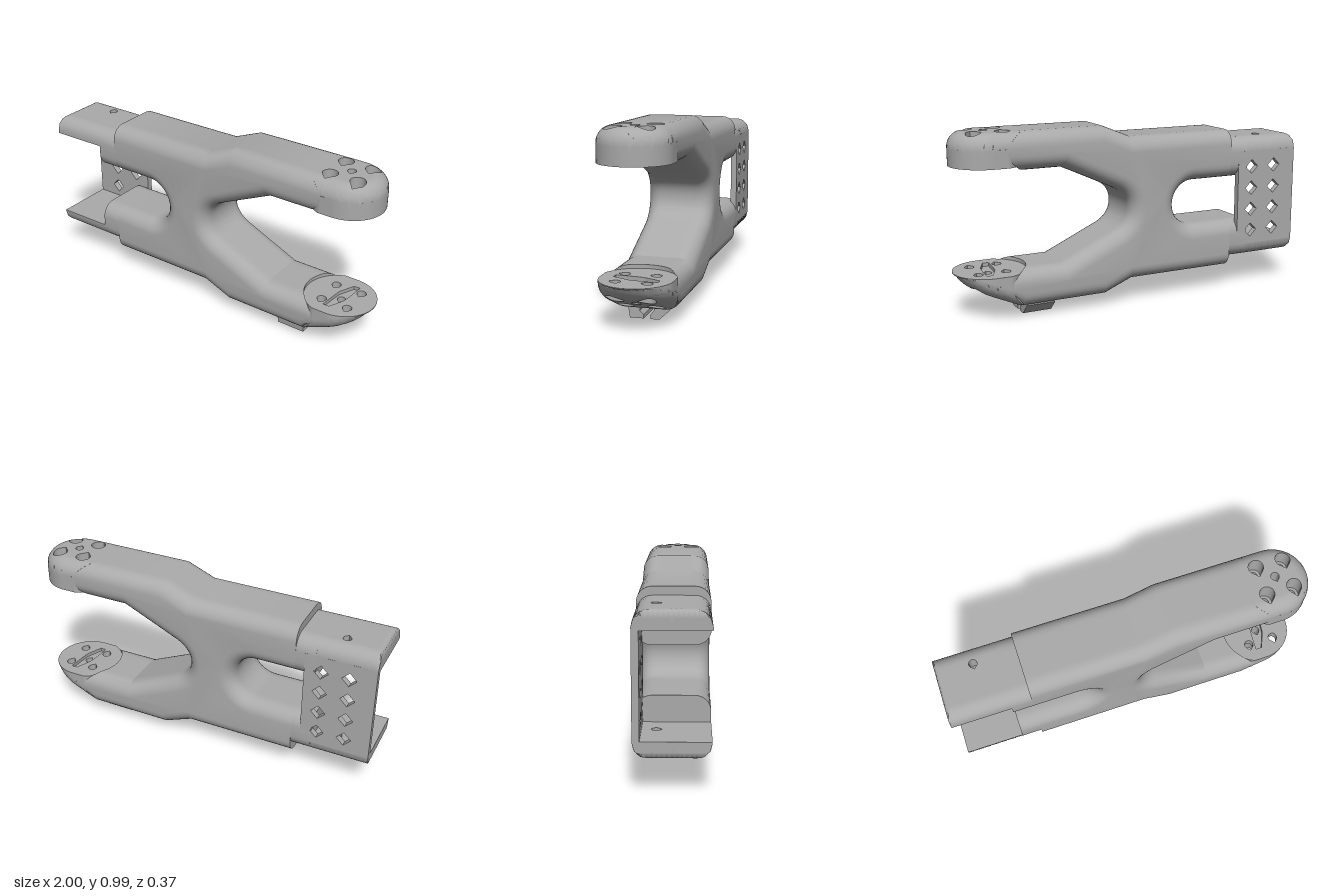
import * as THREE from 'three';
import { toCreasedNormals } from 'three/addons/utils/BufferGeometryUtils.js';

const HALF = 0.185, R = 0.08, CX = 0.815; // half width, edge rounding, centre of arm tips
const clamp = THREE.MathUtils.clamp;
const polygon = (pts) => new THREE.Shape(pts.map(([x, y]) => new THREE.Vector2(x, y)));

// Drop of a rounded edge at distance d from the rim
const drop = (d, r) => {
  const t = clamp(r - d, 0, r);
  return r - Math.sqrt(r * r - t * t);
};

// Split triangles until no edge is longer than max; leaves out empty triangles
function refine(geo, max) {
  const src = geo.index ? geo.toNonIndexed() : geo;
  const p = src.attributes.position, out = [];
  const stack = [];
  for (let i = 0; i < p.count; i += 3)
    stack.push([0, 1, 2].map((k) => new THREE.Vector3().fromBufferAttribute(p, i + k)));
  while (stack.length) {
    const [a, b, c] = stack.pop();
    const ab = a.distanceTo(b), bc = b.distanceTo(c), ca = c.distanceTo(a);
    const m = Math.max(ab, bc, ca);
    if (Math.min(ab, bc, ca) < 1e-6) continue;
    if (m <= max) { out.push(a, b, c); continue; }
    const [u, v, w] = m === ab ? [a, b, c] : m === bc ? [b, c, a] : [c, a, b];
    const mid = u.clone().add(v).multiplyScalar(0.5);
    stack.push([u, mid, w], [mid, v, w]);
  }
  return new THREE.BufferGeometry().setFromPoints(out);
}

// Plan shape (x, -z) filled between two height functions
function slab(shape, lo, hi) {
  const depth = 0.014;
  const geo = refine(new THREE.ExtrudeGeometry(shape, { depth, bevelEnabled: false, curveSegments: 48 }), 0.0145);
  const p = geo.attributes.position;
  for (let i = 0; i < p.count; i++) {
    const x = p.getX(i), z = -p.getY(i), t = p.getZ(i) / depth;
    p.setXYZ(i, x, lo(x, z) * (1 - t) + hi(x, z) * t, z);
  }
  return toCreasedNormals(geo, 0.65);
}

// Side outline with rounded edges, its ends cut off square or curved
function roundedProfile(shape, xMin, xMax) {
  const geo = new THREE.ExtrudeGeometry(shape, {
    depth: 2 * (HALF - R), steps: 10, curveSegments: 14,
    bevelThickness: R, bevelSize: R, bevelOffset: -R, bevelSegments: 7,
  });
  geo.translate(0, 0, R - HALF);
  const p = geo.attributes.position;
  for (let i = 0; i < p.count; i++) p.setX(i, clamp(p.getX(i), xMin, xMax(p.getZ(i))));
  return toCreasedNormals(refine(geo, Infinity), 0.4);
}

// Teardrop hole pointing to +z
function teardrop(x, z, r) {
  const pts = [[x, -z - r * 1.41]];
  for (let i = 0; i <= 14; i++) {
    const a = -Math.PI / 4 + (i / 14) * Math.PI * 1.5;
    pts.push([x + r * Math.cos(a), -z + r * Math.sin(a)]);
  }
  return polygon(pts);
}

// Plan of an arm tip with four screw holes and a middle opening
function tipPlan(r, middle) {
  const a = Math.atan2(HALF, 0.739 - CX);
  const s = new THREE.Shape();
  s.moveTo(0.739, -HALF).lineTo(CX, -HALF);
  s.absarc(CX, 0, HALF, -Math.PI / 2, Math.PI / 2, false);
  s.lineTo(0.739, HALF);
  s.absarc(CX, 0, 0.2, a, 2 * Math.PI - a, false);
  for (const x of [0.74, 0.89]) for (const z of [-0.08, 0.08]) s.holes.push(teardrop(x, z, r));
  s.holes.push(middle);
  return s;
}

export function createModel() {
  const group = new THREE.Group();
  const grey = new THREE.MeshStandardMaterial({ color: 0xaaaaaa });
  grey.name = 'grey';
  const add = (name, geo) => {
    const mesh = new THREE.Mesh(geo, grey);
    mesh.name = name;
    group.add(mesh);
  };

  // Forked body
  const body = new THREE.Shape();
  body.moveTo(-0.7, 0.13);
  for (const [x, y] of [[0.04, 0.13], [0.2, 0.065], [0.68, 0.065], [0.74, 0.092], [0.95, 0.092],
    [0.95, 0.27], [0.44, 0.27], [0.13, 0.41]]) body.lineTo(x, y);
  body.quadraticCurveTo(0.05, 0.45, 0.05, 0.527);
  body.quadraticCurveTo(0.05, 0.604, 0.13, 0.644);
  for (const [x, y] of [[0.44, 0.785], [0.95, 0.785], [0.95, 0.985], [0.2, 0.985], [0.04, 0.92],
    [-0.7, 0.92], [-0.7, 0.65], [-0.345, 0.65]]) body.lineTo(x, y);
  body.absarc(-0.345, 0.525, 0.125, Math.PI / 2, -Math.PI / 2, true);
  body.lineTo(-0.7, 0.4);
  add('body', roundedProfile(body, -0.57, (z) => CX - Math.sqrt(Math.max(0, 0.04 - z * z))));

  // Slimmer blocks behind the body
  for (const [name, y0, y1] of [['upperBlock', 0.65, 0.875], ['lowerBlock', 0.18, 0.4]])
    add(name, roundedProfile(polygon([[-0.85, y0], [-0.35, y0], [-0.35, y1], [-0.85, y1]]), -0.68, () => -0.57));

  // Arm tips: slotted seat, screw plate and counterbored outer layer
  const slot = polygon([[0.01, 0.12], [0.044, 0.12], [0.036, 0.02], [0.03, -0.03],
    [-0.01, -0.12], [-0.044, -0.12], [-0.036, -0.02], [-0.03, 0.03]].map(([x, y]) => [CX + x, y]));
  const pin = teardrop(CX, 0, 0.022);
  const plans = { Seat: tipPlan(0.025, slot), Plate: tipPlan(0.025, pin), Outer: tipPlan(0.04, pin) };
  const rim = (x, z) => HALF - (x < CX ? Math.abs(z) : Math.hypot(x - CX, z));
  const under = (x, z) => Math.min(0.245, 0.065 + Math.max(0, x - 0.68) * 0.45 + drop(rim(x, z), R));
  const upper = { Seat: [0.81, 0.83], Plate: [0.83, 0.87], Outer: [0.87, 0.985] };
  const lower = { Seat: [0.23, 0.25], Plate: [0.2, 0.23], Outer: [0, 0.2] };
  for (const key of Object.keys(plans)) {
    const [a, b] = upper[key], [c, d] = lower[key];
    add('upperTip' + key, slab(plans[key], () => a,
      (x, z) => (key === 'Outer' ? b - drop(rim(x, z), R) : b)));
    add('lowerTip' + key, slab(plans[key], (x, z) => Math.max(c, under(x, z)),
      (x, z) => Math.max(d, under(x, z))));
  }

  // Channel rails with a small hole each
  const rail = polygon([[-1, -HALF], [-0.64, -HALF], [-0.64, HALF], [-1, HALF]]);
  rail.holes.push(teardrop(-0.8, -0.08, 0.022));
  const round = (x, z) => Math.max(drop(HALF - Math.abs(z), R), drop(x + 1, 0.03));
  add('upperRail', slab(rail, () => 0.78, (x, z) => 0.875 - round(x, z)));
  add('lowerRail', slab(rail, (x, z) => 0.18 + round(x, z), () => 0.265));

  // Back plate with diamond holes
  const plate = polygon([[-1, 0.255], [-0.62, 0.255], [-0.62, 0.797], [-1, 0.797]]);
  for (const x of [-0.86, -0.71]) for (const y of [0.335, 0.458, 0.582, 0.706])
    plate.holes.push(polygon([[x - 0.04, y], [x, y - 0.04], [x + 0.04, y], [x, y + 0.04]]));
  const plateGeo = new THREE.ExtrudeGeometry(plate, { depth: 0.035, bevelEnabled: false });
  add('backPlate', plateGeo.translate(0, 0, -HALF));

  // Cable clip prongs, drawn as (z, y) sections
  const prongs = {
    frontProng: [[0.1, 0.08], [0.1, 0.055], [0.092, 0], [0.02, 0], [0.02, 0.02], [0.04, 0.04], [0.035, 0.08]],
    backProng: [[-0.03, 0.08], [-0.035, 0.045], [-0.015, 0.02], [-0.015, 0], [-0.062, 0], [-0.125, 0.06], [-0.125, 0.08]],
  };
  for (const [name, pts] of Object.entries(prongs)) {
    const geo = new THREE.ExtrudeGeometry(polygon(pts.map(([z, y]) => [-z, y])), { depth: 0.16, bevelEnabled: false });
    add(name, geo.rotateY(Math.PI / 2).translate(0.487, 0, 0));
  }
  return group;
}
